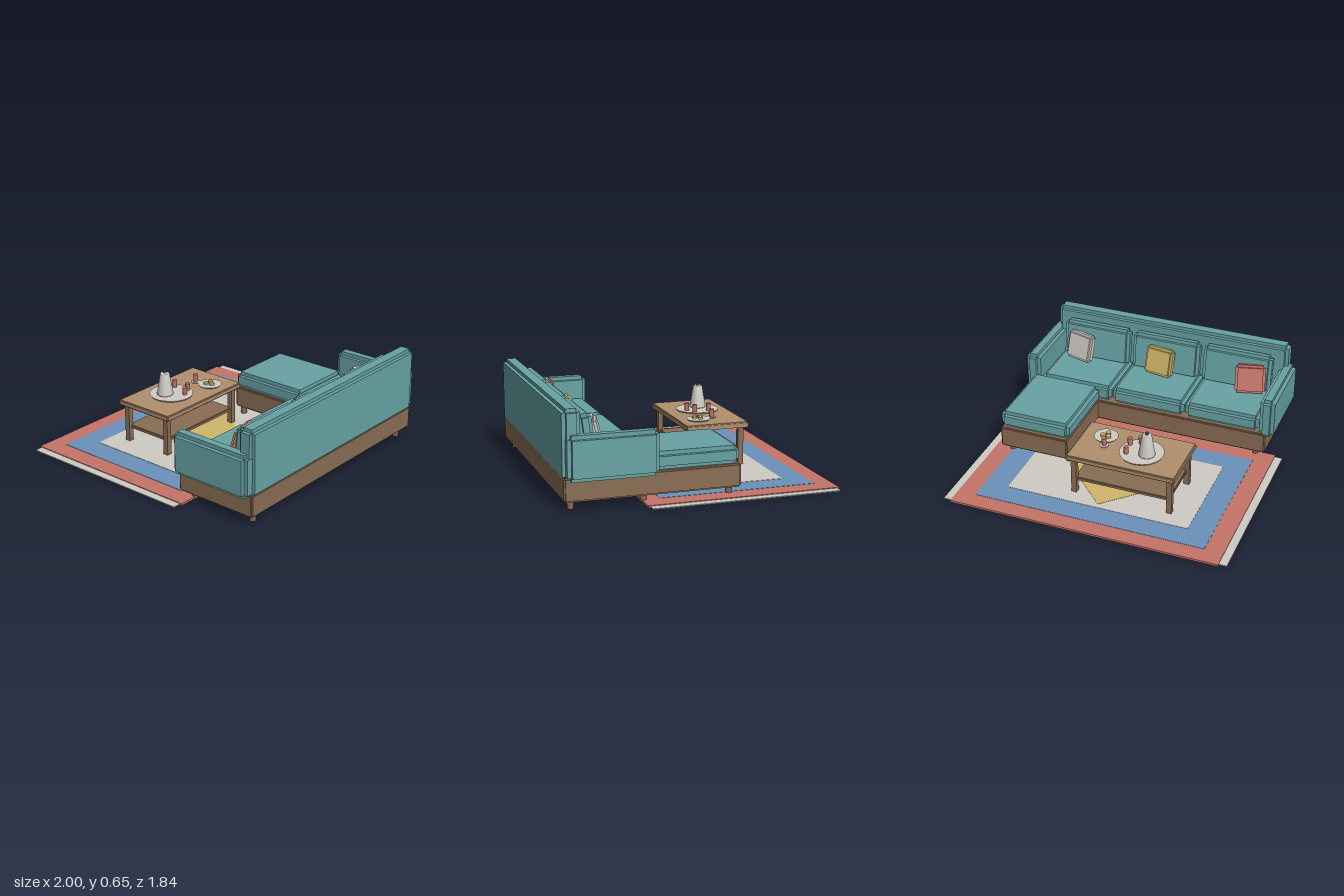
import * as THREE from 'three';

const mat = (name, color) => {
  const m = new THREE.MeshStandardMaterial({ color });
  m.name = name;
  return m;
};

export function createModel() {
  const teal = mat('teal fabric', 0x68a3a5);
  const darkWood = mat('dark wood', 0x8a6e54);
  const lightWood = mat('light wood', 0xb18f6c);
  const red = mat('red', 0xc47468);
  const blue = mat('blue', 0x6b92bb);
  const cream = mat('pale grey', 0xcfccc6);
  const yellow = mat('yellow', 0xd0b66a);
  const knobBrown = mat('knob brown', 0x5a4636);

  const model = new THREE.Group();
  model.name = 'livingRoomSet';

  const add = (name, geo, material, x, y, z, parent = model) => {
    const m = new THREE.Mesh(geo, material);
    m.name = name;
    m.position.set(x, y, z);
    parent.add(m);
    return m;
  };

  // Plain box given by its ranges on each axis
  const box = (name, material, [x0, x1], [y0, y1], [z0, z1]) =>
    add(name, new THREE.BoxGeometry(x1 - x0, y1 - y0, z1 - z0), material,
      (x0 + x1) / 2, (y0 + y1) / 2, (z0 + z1) / 2);

  // Box with stepped edges: three crossing boxes, each full size along one axis
  const stepped = (name, material, w, h, d, r, x, y, z) => {
    const g = new THREE.Group();
    g.name = name;
    g.position.set(x, y, z);
    const s = 2 * r;
    for (const [a, b, c] of [[w, h - s, d - s], [w - s, h, d - s], [w - s, h - s, d]]) {
      add(name + 'Block', new THREE.BoxGeometry(a, b, c), material, 0, 0, 0, g);
    }
    model.add(g);
    return g;
  };
  const steppedRange = (name, material, [x0, x1], [y0, y1], [z0, z1], r) =>
    stepped(name, material, x1 - x0, y1 - y0, z1 - z0, r,
      (x0 + x1) / 2, (y0 + y1) / 2, (z0 + z1) / 2);

  const disc = (name, material, rTop, rBottom, y0, y1, x, z, sides = 24) =>
    add(name, new THREE.CylinderGeometry(rTop, rBottom, y1 - y0, sides), material, x, (y0 + y1) / 2, z);

  // Rug: layered thin plates around one centre
  const rugZ = -0.263;
  const rugLayer = (name, material, hx, hz, y0, y1) =>
    box(name, material, [-hx, hx], [y0, y1], [rugZ - hz, rugZ + hz]);
  rugLayer('rugFringe', cream, 1, 0.64, 0.003, 0.01);
  rugLayer('rugBorder', red, 0.945, 0.655, 0, 0.015);
  rugLayer('rugBand', blue, 0.815, 0.535, 0.012, 0.017);
  rugLayer('rugField', cream, 0.648, 0.378, 0.013, 0.019);
  add('rugDiamond', new THREE.BoxGeometry(0.484, 0.006, 0.484), yellow, 0, 0.018, rugZ)
    .rotation.y = Math.PI / 4;

  // Sofa frame and feet
  steppedRange('sofaBase', darkWood, [-0.88, 0.88], [0.06, 0.215], [0.315, 0.912], 0.01);
  steppedRange('chaiseBase', darkWood, [0.375, 0.88], [0.06, 0.215], [-0.255, 0.34], 0.01);
  const feet = [[-0.8, 0.855], [0.8, 0.855], [-0.8, 0.38], [0.8, 0.38], [0.39, -0.19], [0.82, -0.19]];
  for (const [x, z] of feet) disc('sofaFoot', darkWood, 0.024, 0.02, 0, 0.07, x, z, 12);

  // Upholstered back, arms and chaise
  steppedRange('sofaBack', teal, [-0.885, 0.885], [0.195, 0.65], [0.8, 0.917], 0.025);
  for (const s of [-1, 1]) {
    stepped('sofaArm', teal, 0.105, 0.295, 0.592, 0.027, s * 0.882, 0.342, 0.601);
  }
  steppedRange('chaiseCushion', teal, [0.365, 0.88], [0.213, 0.333], [-0.248, 0.34], 0.028);

  // Seat and back cushions
  for (const i of [-1, 0, 1]) {
    stepped('seatCushion', teal, 0.542, 0.118, 0.475, 0.027, i * 0.552, 0.273, 0.563);
    stepped('backCushion', teal, 0.51, 0.28, 0.092, 0.025, i * 0.54, 0.452, 0.735).rotation.x = 0.13;
  }

  // Throw pillows, turned and leaning back
  for (const [name, m, x, turn] of [['redPillow', red, -0.66, 0.25],
    ['yellowPillow', yellow, 0.025, -0.16], ['palePillow', cream, 0.645, -0.28]]) {
    stepped(name, m, 0.215, 0.205, 0.065, 0.017, x, 0.437, 0.65).rotation.set(0.25, turn, 0, 'YXZ');
  }

  // Coffee table
  const tx = -0.135, tz = -0.333;
  stepped('tableTop', lightWood, 0.77, 0.04, 0.455, 0.008, tx, 0.303, tz);
  stepped('tableShelf', darkWood, 0.68, 0.025, 0.37, 0.005, tx, 0.122, tz);
  for (const sx of [-1, 1]) {
    for (const sz of [-1, 1]) {
      add('tableLeg', new THREE.BoxGeometry(0.038, 0.285, 0.038), darkWood,
        tx + sx * 0.34, 0.1435, tz + sz * 0.178);
    }
  }

  // Tray with jug
  disc('tray', cream, 0.152, 0.145, 0.322, 0.333, -0.215, -0.348, 32);
  const jug = [[0, 0], [0.055, 0], [0.057, 0.012], [0.045, 0.08], [0.032, 0.158], [0.026, 0.162], [0, 0.164]]
    .map(([r, y]) => new THREE.Vector2(r, y));
  add('jug', new THREE.LatheGeometry(jug, 24), cream, -0.258, 0.331, -0.367);
  disc('jugKnob', knobBrown, 0.01, 0.012, 0.492, 0.51, -0.258, -0.367, 12);

  // Cups, saucer, plate and treats
  for (const [x, z] of [[-0.123, -0.4], [-0.11, -0.292], [-0.176, -0.257], [0.052, -0.358]]) {
    disc('cup', red, 0.017, 0.015, 0.328, 0.385, x, z, 16);
  }
  disc('saucer', cream, 0.032, 0.028, 0.322, 0.33, 0.052, -0.358);
  disc('plate', cream, 0.084, 0.075, 0.322, 0.332, 0.08, -0.25);
  for (const [x, z] of [[0.058, -0.266], [0.1, -0.26], [0.073, -0.225]]) {
    disc('treat', yellow, 0.018, 0.018, 0.331, 0.346, x, z, 16);
  }

  return model;
}
